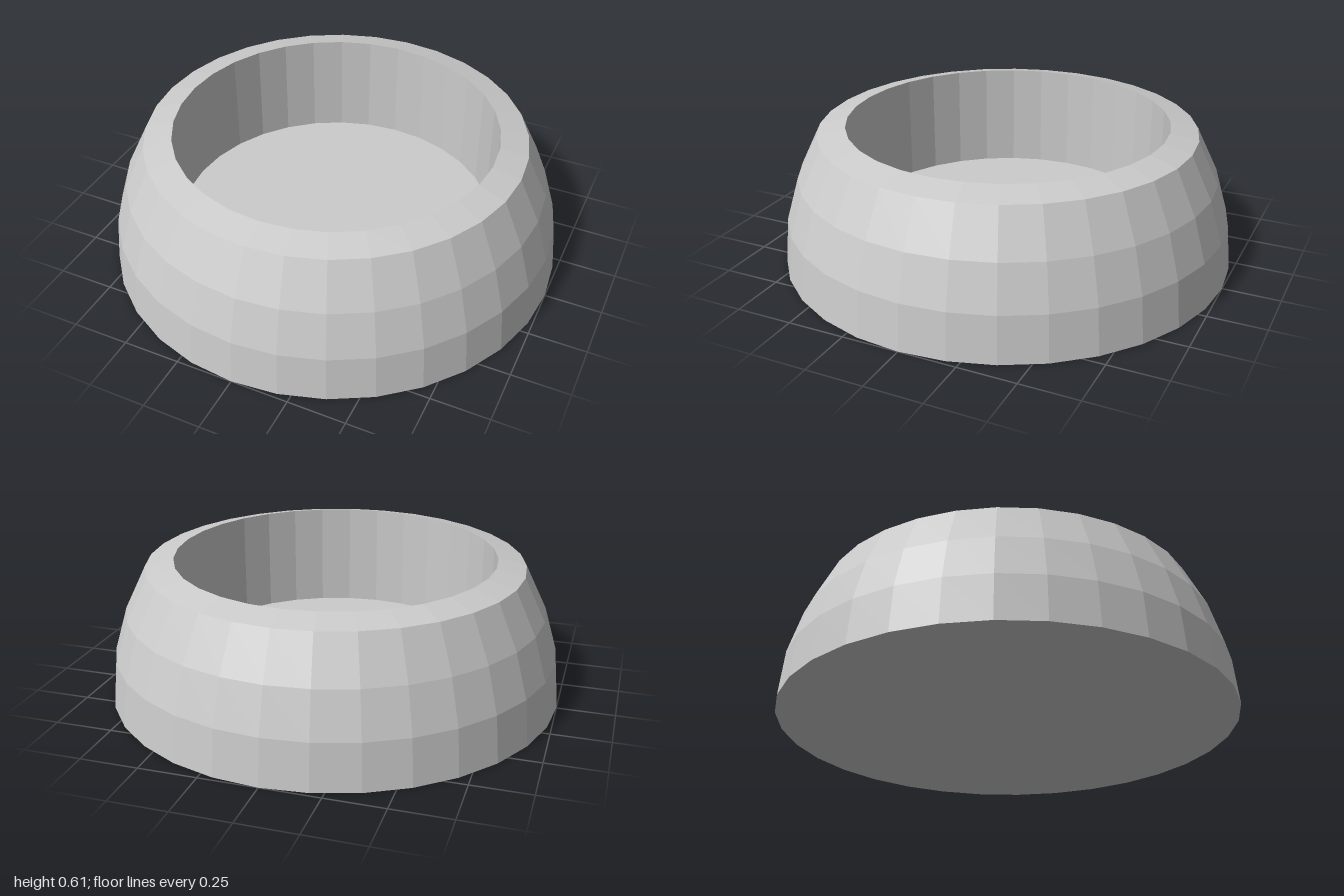
import * as THREE from 'three';

const SIDES = 32;

// Faceted surface of revolution; the profile runs [radius, height]
function turned(name, profile, material) {
  const points = profile.map(([r, y]) => new THREE.Vector2(r, y));
  const mesh = new THREE.Mesh(new THREE.LatheGeometry(points, SIDES), material);
  mesh.name = name;
  return mesh;
}

export function createModel() {
  const group = new THREE.Group();
  group.name = 'bowl';
  const material = new THREE.MeshStandardMaterial({ color: 0xcccccc, flatShading: true });

  const rimOuter = [0.83, 0.58];
  const rimInner = [0.707, 0.61];
  const floorEdge = [0.707, 0.137];

  group.add(
    // Flat underside and rounded outer wall
    turned('outerWall', [[0, 0], [1, 0], [0.98, 0.2], [0.923, 0.39], rimOuter], material),
    // Gently sloping rim
    turned('rim', [rimOuter, rimInner], material),
    // Straight inner wall and flat floor
    turned('basin', [rimInner, floorEdge, [0, floorEdge[1]]], material),
  );
  return group;
}
